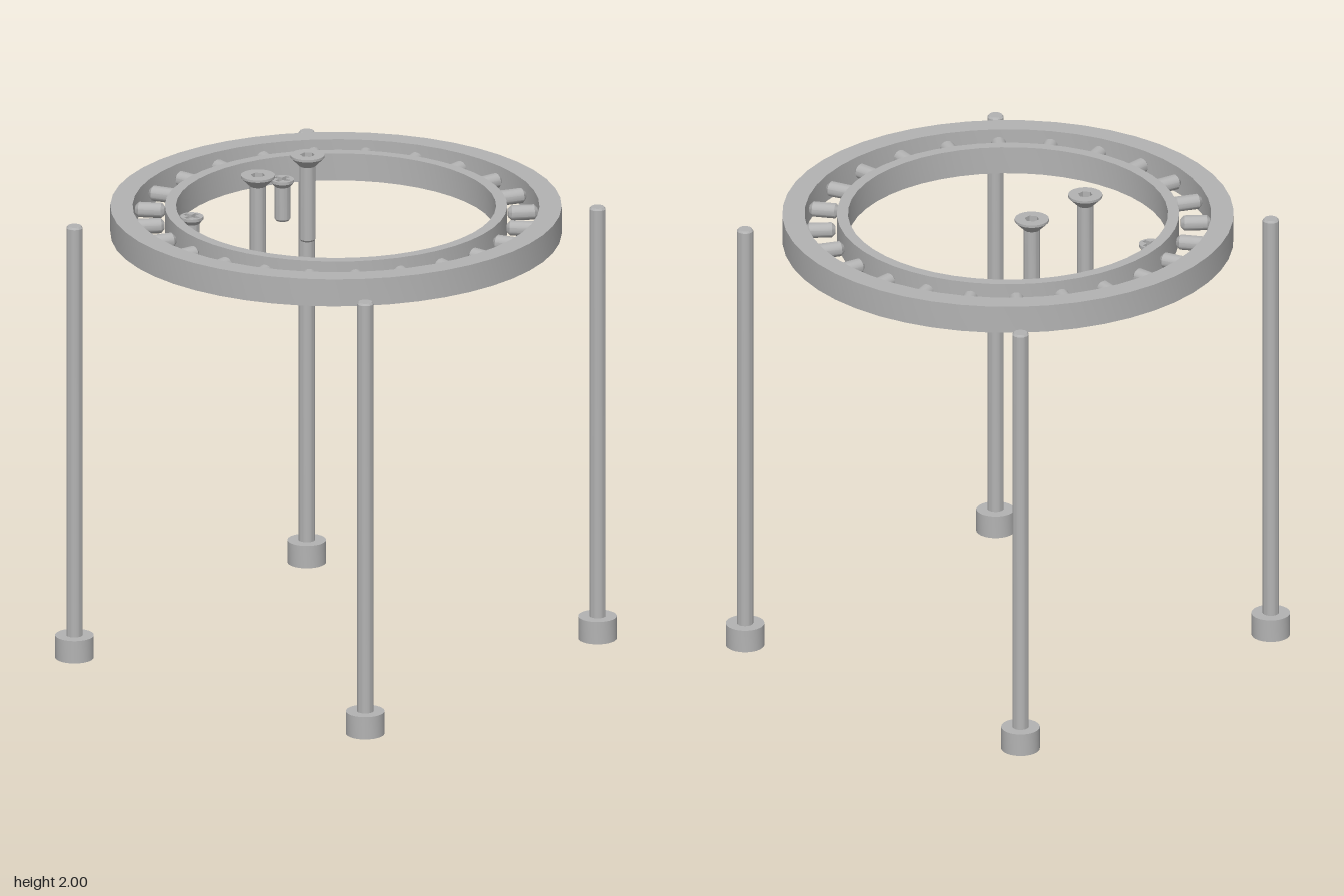
import * as THREE from 'three';
import { toCreasedNormals } from 'three/addons/utils/BufferGeometryUtils.js';

const V = (x, y) => new THREE.Vector2(x, y);
const steel = new THREE.MeshStandardMaterial({ color: 0xb3b3b3 });
steel.name = 'steel grey';

function add(parent, name, geometry) {
  const mesh = new THREE.Mesh(geometry, steel);
  mesh.name = name;
  parent.add(mesh);
  return mesh;
}

// Turned part with sharp edges kept
const turned = (points, sides) =>
  toCreasedNormals(new THREE.LatheGeometry(points.map(([r, y]) => V(r, y)), sides), 0.5);

const ringOf = (inner, outer, y0, y1) =>
  turned([[inner, y0], [outer, y0], [outer, y1], [inner, y1], [inner, y0]], 48);

// Socket outlines, counter-clockwise
const circle = (r, n) => Array.from({ length: n }, (_, i) =>
  V(r * Math.cos(i / n * Math.PI * 2), r * Math.sin(i / n * Math.PI * 2)));
const hexagon = (r) => circle(r, 6);
const cross = (a, b) => [[a, -b], [a, b], [b, b], [b, a], [-b, a], [-b, b], [-a, b],
  [-a, -b], [-b, -b], [-b, -a], [b, -a], [b, -b]].map(([x, y]) => V(x, y));

// Inward-facing walls of a socket sunk from y = 0
function socketWalls(outline, depth) {
  const p = [];
  outline.forEach((a, i) => {
    const b = outline[(i + 1) % outline.length];
    p.push(a.x, 0, -a.y, b.x, 0, -b.y, b.x, -depth, -b.y);
    p.push(a.x, 0, -a.y, b.x, -depth, -b.y, a.x, -depth, -a.y);
  });
  const g = new THREE.BufferGeometry();
  g.setAttribute('position', new THREE.Float32BufferAttribute(p, 3));
  g.computeVertexNormals();
  return g;
}

// Screw hanging down from its head face at y = 0; head is a profile from shaft to rim
function screw(name, length, shaftR, head, outline, depth) {
  const group = new THREE.Group();
  group.name = name;
  const rim = head[head.length - 1][0];
  add(group, 'shaftAndHead', turned([
    [0, -length], [shaftR - 0.006, -length], [shaftR, -length + 0.008], ...head], 32));
  const face = new THREE.Shape(circle(rim, 32));
  face.holes.push(new THREE.Path(outline));
  add(group, 'headFace', new THREE.ShapeGeometry(face).rotateX(-Math.PI / 2));
  add(group, 'socketWalls', socketWalls(outline, depth));
  add(group, 'socketFloor', new THREE.ShapeGeometry(new THREE.Shape(outline))
    .rotateX(-Math.PI / 2).translate(0, -depth, 0));
  return group;
}

export function createModel() {
  const model = new THREE.Group();
  model.name = 'rollerBearingKit';

  // Bearing rings
  const y0 = 1.77, y1 = 1.885;
  add(model, 'outerRing', ringOf(0.82, 0.91, y0, y1));
  add(model, 'innerRing', ringOf(0.645, 0.69, y0, y1));

  // Radial rollers with bevelled ends
  const rollers = new THREE.Group();
  rollers.name = 'rollers';
  model.add(rollers);
  const h = 0.06, r = 0.031, c = 0.014;
  const rollerGeometry = turned([[0, -h], [r - c, -h], [r, -h + c], [r, h - c], [r - c, h], [0, h]], 20)
    .rotateZ(Math.PI / 2).translate(0.757, 0, 0);
  for (let i = 0; i < 24; i++) {
    const roller = add(rollers, 'roller', rollerGeometry);
    roller.position.y = (y0 + y1) / 2;
    roller.rotation.y = i / 24 * Math.PI * 2;
  }

  for (const sx of [-1, 1]) {
    // Long socket-head screws standing on their heads
    for (const sz of [-1, 1]) {
      const leg = screw('longScrew', 1.84, 0.033,
        [[0.033, -0.095], [0.078, -0.095], [0.078, 0]], hexagon(0.043), 0.05);
      leg.rotation.x = Math.PI;
      leg.position.set(0.75 * sx, 0, 0.75 * sz);
      model.add(leg);
    }

    // Countersunk screws with hexagon sockets
    const countersunk = screw('countersunkScrew', 0.365, 0.033,
      [[0.033, -0.046], [0.069, -0.01], [0.069, 0]], hexagon(0.03), 0.025);
    countersunk.position.set(0.16 * sx, 2, -0.275);
    model.add(countersunk);

    // Short screws with cross recesses
    const short = screw('shortCrossScrew', 0.175, 0.032,
      [[0.032, -0.03], [0.047, -0.012], [0.047, 0]], cross(0.036, 0.01), 0.02);
    short.position.set(0.293 * sx, 1.81, -0.51);
    model.add(short);
  }
  return model;
}
